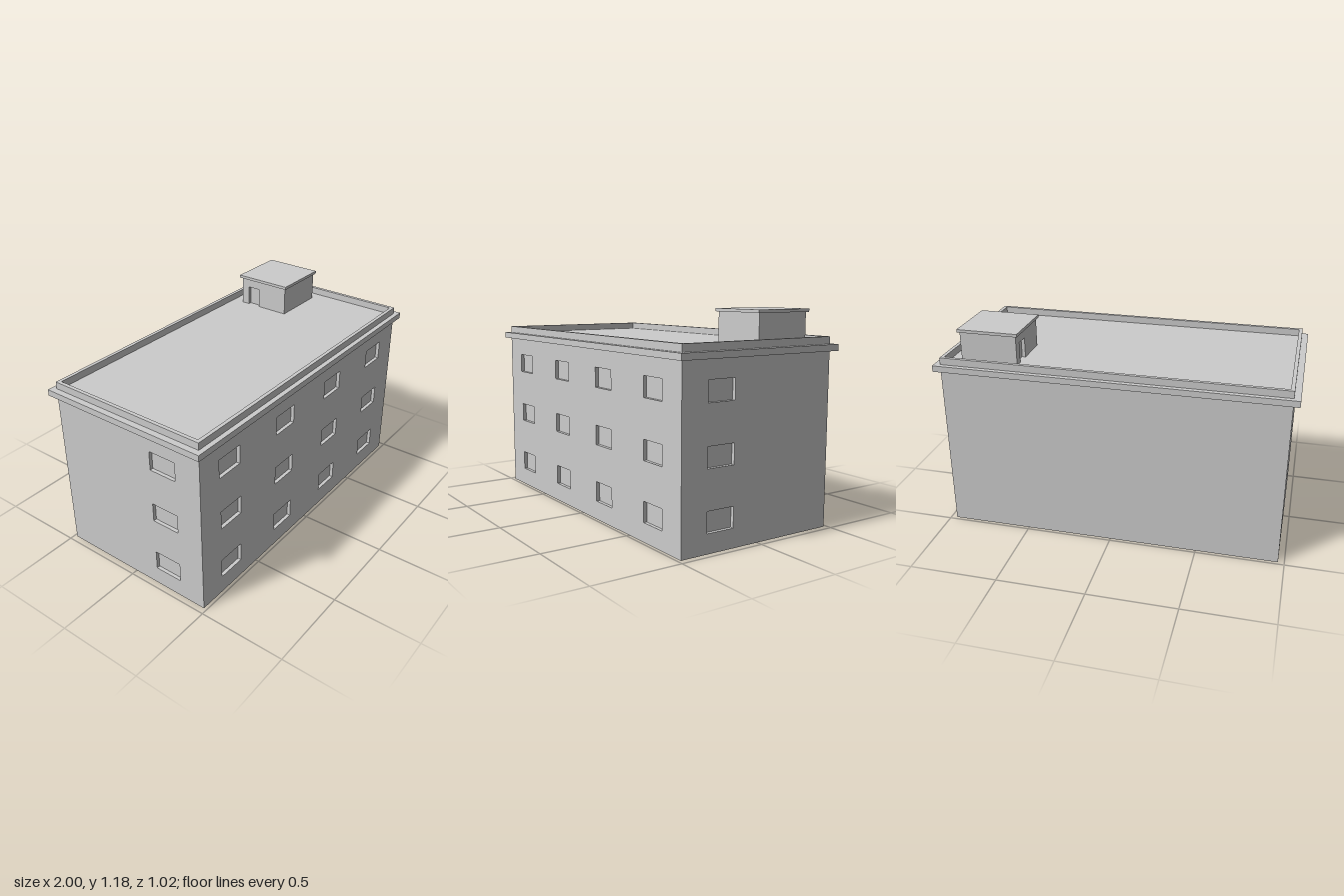
import * as THREE from 'three';

const material = new THREE.MeshStandardMaterial({ color: 0xcccccc, flatShading: true });
const RECESS = 0.02;

function rectPoints(x0, y0, x1, y1) {
  return [[x0, y0], [x1, y0], [x1, y1], [x0, y1]].map(([x, y]) => new THREE.Vector2(x, y));
}

// Flat plate with rectangular openings, extruded along +z
function plate(outline, openings, depth) {
  const shape = new THREE.Shape(outline);
  for (const o of openings) shape.holes.push(new THREE.Path(rectPoints(...o)));
  return new THREE.ExtrudeGeometry(shape, { depth, bevelEnabled: false });
}

function add(parent, name, geometry) {
  const mesh = new THREE.Mesh(geometry, material);
  mesh.name = name;
  parent.add(mesh);
  return mesh;
}

// Box given by its two opposite corners
function addBox(parent, name, [x0, y0, z0], [x1, y1, z1]) {
  const mesh = add(parent, name, new THREE.BoxGeometry(x1 - x0, y1 - y0, z1 - z0));
  mesh.position.set((x0 + x1) / 2, (y0 + y1) / 2, (z0 + z1) / 2);
  return mesh;
}

export function createModel() {
  const model = new THREE.Group();
  model.name = 'building';

  const W = 0.965, D = 0.482, wallTop = 0.965, deck = 1.0;
  const floors = [[0.105, 0.218], [0.43, 0.54], [0.752, 0.863]];
  const columns = [-0.807, -0.326, 0.156, 0.639];
  const windowWidth = 0.166;

  // Solid core; its faces form the backs of the window recesses
  addBox(model, 'core', [-W + RECESS, 0, -D], [W - RECESS, wallTop, D - RECESS]);

  // Front wall: three floors of four windows
  const frontWindows = [];
  floors.forEach(([y0, y1], floor) => columns.forEach((x, i) => {
    const x0 = floor === 2 && i === 0 ? x - 0.01 : x;
    frontWindows.push([x0, y0, x0 + windowWidth, y1]);
  }));
  const front = add(model, 'frontWall', plate(rectPoints(-W, 0, W, wallTop), frontWindows, RECESS));
  front.position.z = D - RECESS;

  // Side walls: one window per floor, towards the front
  for (const side of [1, -1]) {
    const span = (a, b) => (side > 0 ? [-b, -a] : [a, b]);
    const [u0, u1] = span(-D, D - RECESS);
    const [w0, w1] = span(0.16, 0.325);
    const windows = floors.map(([y0, y1]) => [w0, y0, w1, y1]);
    const wall = add(model, side > 0 ? 'leftWall' : 'rightWall',
      plate(rectPoints(u0, 0, u1, wallTop), windows, RECESS));
    wall.rotation.y = side * Math.PI / 2;
    wall.position.x = side * (W - RECESS);
  }

  // Projecting roof slab and the parapet standing on it
  addBox(model, 'roofSlab', [-1, wallTop, -0.51], [1, deck, 0.51]);
  const parapet = add(model, 'parapet',
    plate(rectPoints(-W, -D, W, D), [[-0.944, -0.461, 0.944, 0.461]], 0.04));
  parapet.rotation.x = -Math.PI / 2;
  parapet.position.y = deck;

  // Rooftop stair house with a recessed doorway facing -x
  const house = new THREE.Group();
  house.name = 'stairHouse';
  model.add(house);
  const hx = 0.545, hz0 = -0.392, hz1 = -0.067, houseTop = 1.168;
  addBox(house, 'houseBody', [hx + RECESS, deck, hz0], [0.873, houseTop, hz1]);
  const doorWallOutline = [
    [hz0, deck], [-0.342, deck], [-0.342, 1.115], [-0.262, 1.115],
    [-0.262, deck], [hz1, deck], [hz1, houseTop], [hz0, houseTop],
  ].map(([z, y]) => new THREE.Vector2(z, y));
  const doorWall = add(house, 'doorWall', plate(doorWallOutline, [], RECESS));
  doorWall.rotation.y = -Math.PI / 2;
  doorWall.position.x = hx + RECESS;
  addBox(house, 'houseRoof', [0.533, houseTop, -0.405], [0.884, 1.185, -0.055]);

  return model;
}
